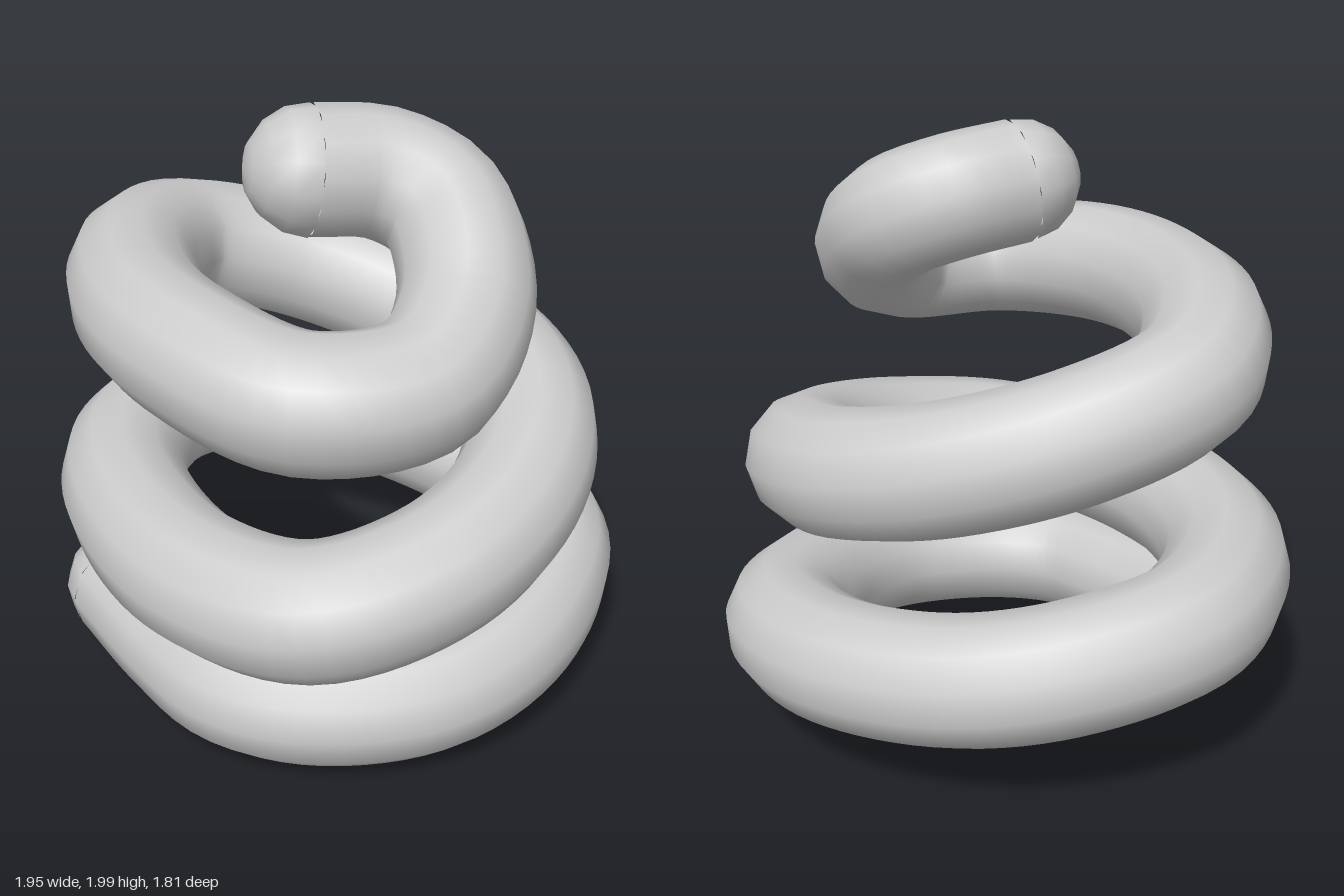
import * as THREE from 'three';

const RADIUS = 0.2; // at both ends
const SWELL = 0.015; // extra thickness halfway along
const SIDES = 12;

// Centre line of the coil, from the bottom end up to the curled tip
const PATH = [
  [-0.35, 0.25, 0.62], [0, 0.222, 0.64], [0.3, 0.21, 0.62], [0.54, 0.212, 0.46],
  [0.725, 0.235, 0.14], [0.715, 0.288, -0.22], [0.5, 0.355, -0.58], [0.13, 0.405, -0.7],
  [-0.31, 0.46, -0.59], [-0.6, 0.525, -0.36], [-0.765, 0.585, 0], [-0.64, 0.605, 0.36],
  [-0.35, 0.61, 0.59], [0.2, 0.61, 0.695], [0.6, 0.635, 0.55], [0.755, 0.715, 0.17],
  [0.7, 0.81, -0.18], [0.5, 0.91, -0.44], [0.2, 0.99, -0.55], [-0.14, 1.08, -0.47],
  [-0.47, 1.205, -0.21], [-0.615, 1.315, 0.13], [-0.46, 1.38, 0.42], [-0.13, 1.395, 0.63],
  [0.2, 1.39, 0.685], [0.6, 1.355, 0.58], [0.745, 1.37, 0.27], [0.66, 1.48, 0.04],
  [0.53, 1.6, -0.07], [0.38, 1.7, -0.11], [0.23, 1.77, -0.02], [0.13, 1.8, 0.185],
].map((p) => new THREE.Vector3(...p));

// Thickens the middle of the tube smoothly, leaving its ends alone
function swell(geometry) {
  const { position, normal, uv } = geometry.attributes;
  const p = new THREE.Vector3();
  const n = new THREE.Vector3();
  for (let i = 0; i < position.count; i++) {
    n.fromBufferAttribute(normal, i);
    p.fromBufferAttribute(position, i).addScaledVector(n, SWELL * Math.sin(Math.PI * uv.getX(i)));
    position.setXYZ(i, p.x, p.y, p.z);
  }
  return geometry;
}

export function createModel() {
  const group = new THREE.Group();
  const material = new THREE.MeshStandardMaterial({ color: 0xcccccc });
  const curve = new THREE.CatmullRomCurve3(PATH);

  // Coiled body
  const body = new THREE.Mesh(swell(new THREE.TubeGeometry(curve, 200, RADIUS, SIDES)), material);
  body.name = 'coil';
  group.add(body);

  // Rounded caps closing both ends
  const dome = new THREE.SphereGeometry(RADIUS, SIDES, 4, 0, Math.PI * 2, 0, Math.PI / 2);
  const up = new THREE.Vector3(0, 1, 0);
  for (const [name, t, dir] of [['bottomCap', 0, -1], ['topCap', 1, 1]]) {
    const cap = new THREE.Mesh(dome, material);
    cap.name = name;
    cap.position.copy(curve.getPointAt(t));
    cap.quaternion.setFromUnitVectors(up, curve.getTangentAt(t).multiplyScalar(dir));
    group.add(cap);
  }
  return group;
}
